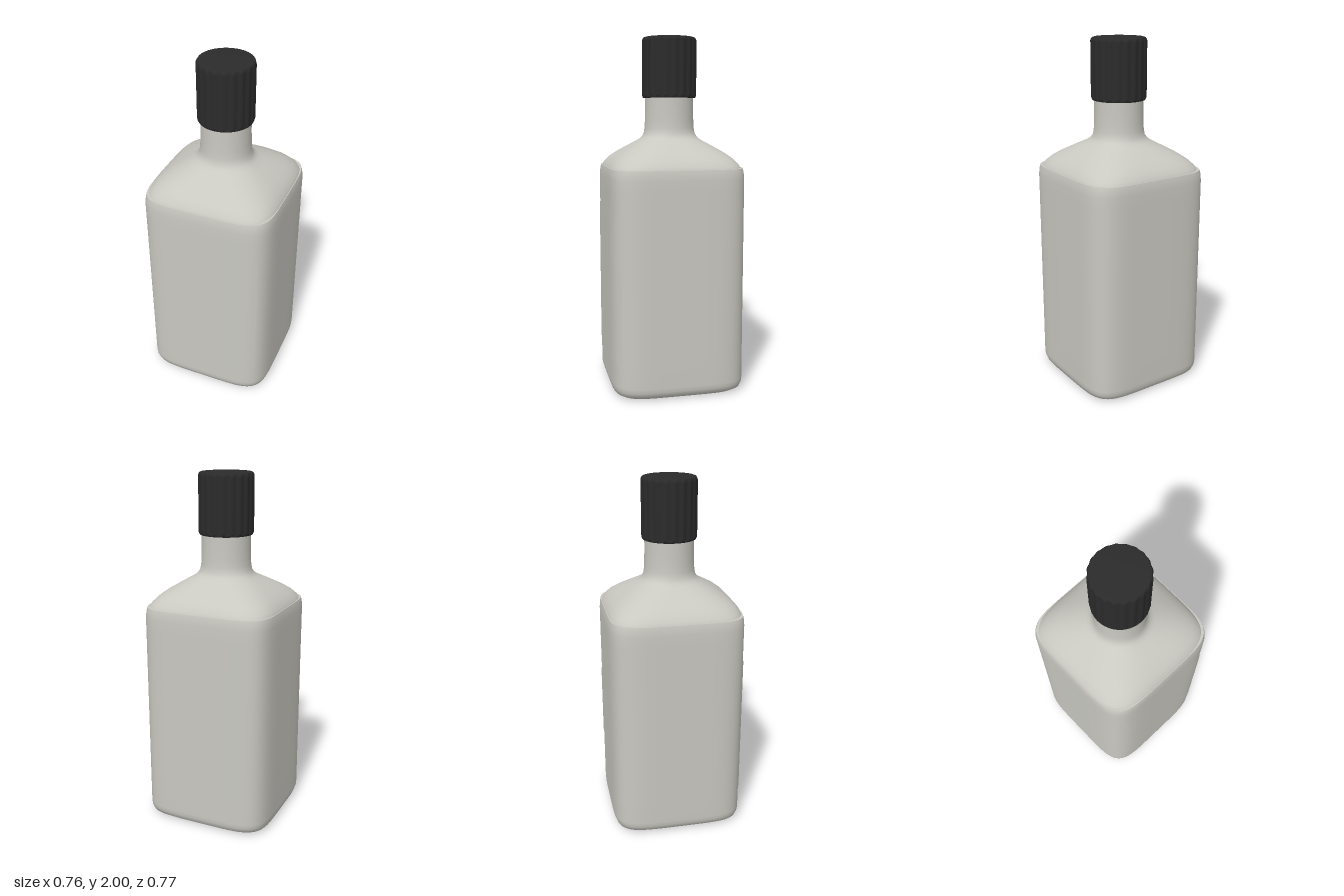
import * as THREE from 'three';

const glass = new THREE.MeshStandardMaterial({ color: 0xc9c8c1 });
glass.name = 'frosted glass';
const black = new THREE.MeshStandardMaterial({ color: 0x2b2b2b });
black.name = 'black plastic';

const HALF = 0.38, SQUARE = 5.5;

// Superellipse radius: power 2 is a circle, higher powers are rounded squares
const squircle = (t, half, power) =>
  half / Math.pow(Math.abs(Math.cos(t)) ** power + Math.abs(Math.sin(t)) ** power, 1 / power);

// Closed loft through rings listed from bottom to top; radius(t, ring) gives the outline
function loft(rings, radius, sides) {
  const position = [], index = [];
  rings.forEach((ring, i) => {
    for (let j = 0; j < sides; j++) {
      const t = (j / sides) * Math.PI * 2, r = radius(t, ring);
      position.push(r * Math.cos(t), ring[0], r * Math.sin(t));
      if (i === rings.length - 1) continue;
      const a = i * sides + j, b = i * sides + (j + 1) % sides;
      index.push(a, a + sides, b, b, a + sides, b + sides);
    }
  });
  const geometry = new THREE.BufferGeometry();
  geometry.setAttribute('position', new THREE.Float32BufferAttribute(position, 3));
  geometry.setIndex(index);
  geometry.computeVertexNormals();
  return geometry;
}

// Thin plate that hugs the front wall, with an optionally arched top edge
function labelGeometry(halfWidth, bottom, top, arch) {
  const geometry = new THREE.PlaneGeometry(2, 1, 32, 4);
  const p = geometry.attributes.position;
  for (let i = 0; i < p.count; i++) {
    const u = p.getX(i), v = p.getY(i) + 0.5, x = u * halfWidth;
    const edge = top + arch * Math.cos(u * Math.PI / 2);
    const z = HALF * Math.pow(1 - Math.pow(Math.abs(x) / HALF, SQUARE), 1 / SQUARE);
    p.setXYZ(i, x, bottom + (edge - bottom) * v, z + 0.003);
  }
  geometry.computeVertexNormals();
  return geometry;
}

export function createModel() {
  const model = new THREE.Group();
  model.name = 'squareBottle';
  const add = (name, geometry, material) => {
    const mesh = new THREE.Mesh(geometry, material);
    mesh.name = name;
    model.add(mesh);
    return mesh;
  };
  const section = (t, [, half, power]) => squircle(t, half, power);

  // Square body with soft lower and upper edges: [y, half width, power]
  add('body', loft([
    [0, 0, 5], [0, 0.15, 5], [0, 0.325, 5], [0.005, 0.35, 5.2], [0.02, 0.37, 5.4],
    [0.045, 0.378, SQUARE], [0.07, HALF, SQUARE], [0.2, HALF, SQUARE], [0.7, HALF, SQUARE],
    [1.15, HALF, SQUARE], [1.215, HALF, SQUARE], [1.25, 0.377, SQUARE], [1.272, 0.372, SQUARE],
  ], section, 128), glass);

  // Small ledge where the body meets the shoulder
  add('ledge', loft([[1.272, 0.372, SQUARE], [1.272, 0.34, 4.4]], section, 128), glass);

  // Shoulder turning from square to round, then the neck
  add('shoulderAndNeck', loft([
    [1.27, 0.369, 4.6], [1.29, 0.361, 4.4], [1.32, 0.335, 4.1], [1.35, 0.297, 3.7],
    [1.38, 0.25, 3.2], [1.405, 0.208, 2.8], [1.425, 0.174, 2.45], [1.44, 0.158, 2.2],
    [1.46, 0.147, 2.05], [1.49, 0.142, 2], [1.53, 0.14, 2], [1.6, 0.138, 2], [1.68, 0.138, 2],
  ], section, 128), glass);

  // Labels
  add('frontLabel', labelGeometry(0.33, 0.21, 1.0, 0.08), glass);
  add('backLabel', labelGeometry(0.22, 0.41, 0.84, 0), glass).rotation.y = Math.PI;

  // Screw cap: ribbed side, bevelled rim, flat top and lower band: [y, radius, rib depth]
  const ribbed = (t, [, r, depth]) => r - depth * Math.abs(Math.sin(t * 10)) ** 2;
  const capParts = {
    capSide: [[1.675, 0.156, 0.006], [1.98, 0.156, 0.006]],
    capRim: [[1.98, 0.156, 0.006], [1.99, 0.153, 0.003], [1.997, 0.147, 0]],
    capTop: [[1.997, 0.147, 0], [2, 0.138, 0], [2, 0, 0]],
    capBand: [[1.66, 0.149, 0], [1.667, 0.153, 0], [1.675, 0.156, 0.006]],
    capUnderside: [[1.66, 0.13, 0], [1.66, 0.149, 0]],
  };
  for (const [name, rings] of Object.entries(capParts)) add(name, loft(rings, ribbed, 160), black);

  return model;
}
